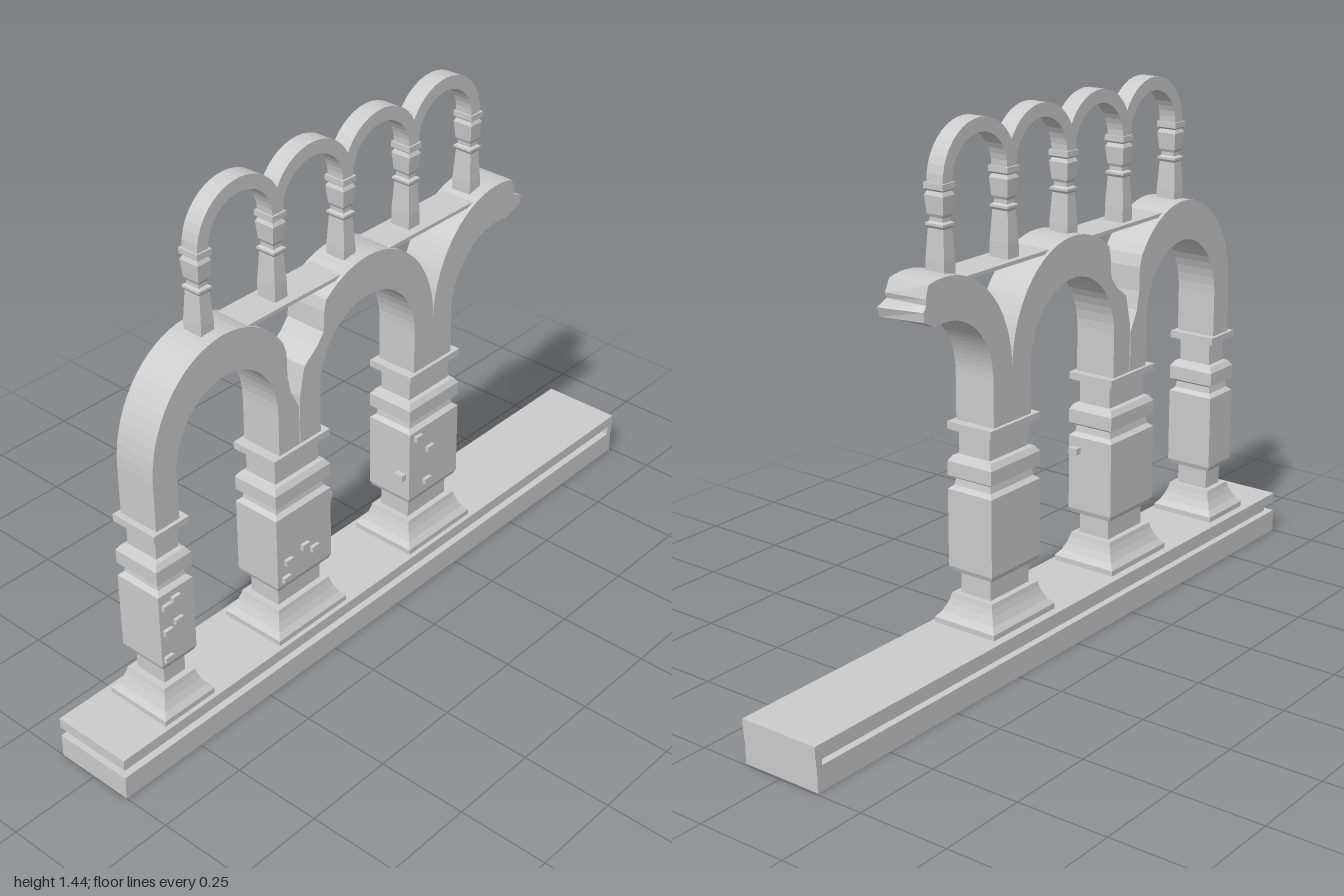
import * as THREE from 'three';

const stone = new THREE.MeshStandardMaterial({ color: 0xcccccc, flatShading: true });
const PILLAR_Z = 0.005;

function add(parent, name, geometry, x = 0, y = 0, z = 0) {
  const mesh = new THREE.Mesh(geometry, stone);
  mesh.name = name;
  mesh.position.set(x, y, z);
  parent.add(mesh);
  return mesh;
}

// Stack of rectangular sections [y, halfWidth, halfDepth], closed at both ends
function loftRects(rings) {
  const pos = [];
  const corners = ([y, a, b]) => [[-a, y, b], [a, y, b], [a, y, -b], [-a, y, -b]];
  const quad = (a, b, c, d) => pos.push(...a, ...b, ...c, ...a, ...c, ...d);
  for (let i = 0; i < rings.length - 1; i++) {
    const lo = corners(rings[i]), hi = corners(rings[i + 1]);
    for (let k = 0; k < 4; k++) {
      const n = (k + 1) % 4;
      quad(lo[k], lo[n], hi[n], hi[k]);
    }
  }
  quad(...corners(rings[0]).reverse());
  quad(...corners(rings[rings.length - 1]));
  const g = new THREE.BufferGeometry();
  g.setAttribute('position', new THREE.Float32BufferAttribute(pos, 3));
  g.computeVertexNormals();
  return g;
}

// Points on an ellipse from angle a to angle b
function arc(cx, cy, rx, ry, a, b, n = 24) {
  return Array.from({ length: n + 1 }, (_, i) => {
    const t = a + (b - a) * i / n;
    return new THREE.Vector2(cx + rx * Math.cos(t), cy + ry * Math.sin(t));
  });
}

function extrude(points, depth) {
  const g = new THREE.ExtrudeGeometry(new THREE.Shape(points), { depth, bevelEnabled: false });
  return g.translate(0, 0, -depth / 2);
}

const pts = (list) => list.map(([x, y]) => new THREE.Vector2(x, y));

// Profile of a pillar: [y, inset from the body face]
const PILLAR = [
  [0.12, -0.027], [0.135, -0.027], [0.15, -0.014], [0.17, -0.004], [0.187, 0.002], [0.2, 0.005],
  [0.2, 0.022], [0.258, 0.022], [0.262, 0.005], [0.275, 0], [0.485, 0], [0.495, 0.012],
  [0.513, 0.015], [0.522, 0], [0.56, 0], [0.575, 0.01], [0.578, 0.021], [0.64, 0.021],
  [0.645, 0], [0.665, 0]];

// Profile of a small column: [y, halfWidth, halfDepth]
const COLONNETTE = [
  [1.06, 0.021, 0.029], [1.11, 0.021, 0.029], [1.19, 0.016, 0.024], [1.197, 0.021, 0.028],
  [1.203, 0.021, 0.028], [1.207, 0.014, 0.02], [1.217, 0.014, 0.02], [1.225, 0.018, 0.025],
  [1.27, 0.022, 0.029], [1.28, 0.017, 0.024], [1.285, 0.023, 0.03], [1.3, 0.023, 0.03]];

function createBase(group) {
  const base = new THREE.Group();
  base.name = 'base';
  group.add(base);
  add(base, 'lowerSlab', new THREE.BoxGeometry(1.995, 0.065, 0.23), -0.0025, 0.0325);
  add(base, 'grooveCore', new THREE.BoxGeometry(1.96, 0.026, 0.19), 0, 0.0775);
  add(base, 'grooveEnd', new THREE.BoxGeometry(0.02, 0.026, 0.23), 0.988, 0.0775);
  add(base, 'upperSlab', new THREE.BoxGeometry(2, 0.03, 0.23), 0, 0.105);
}

function createPillars(group) {
  for (const [x, half] of [[-0.765, 0.057], [-0.318, 0.1], [0.195, 0.1]]) {
    const rings = PILLAR.map(([y, inset]) => [y, half - inset, 0.07 - inset]);
    add(group, 'pillar', loftRects(rings), x, 0, PILLAR_Z);
  }
  // Small bricks standing proud of the pillar faces
  const front = [
    [-0.8, 0.45], [-0.77, 0.46], [-0.8, 0.375], [-0.765, 0.39], [-0.803, 0.295],
    [-0.38, 0.345], [-0.32, 0.36], [-0.285, 0.335], [-0.39, 0.295],
    [0.125, 0.465], [0.175, 0.41], [0.165, 0.31]];
  for (const [x, y] of front) {
    add(group, 'brick', new THREE.BoxGeometry(0.026, 0.016, 0.02), x, y, 0.075);
  }
  add(group, 'sideBrick', new THREE.BoxGeometry(0.03, 0.018, 0.028), -0.215, 0.447, 0.05);
  add(group, 'sideBrick', new THREE.BoxGeometry(0.03, 0.018, 0.028), 0.092, 0.348, 0.05);
}

function createLargeArches(group) {
  const foot = 0.66, depth = 0.12;
  const outer = (cx, rx, a, b) => arc(cx, 0.8, rx, 0.29, a, b);
  const inner = (cx, rx, a, b) => arc(cx, 0.79, rx, 0.19, a, b);

  // Right-hand flank of the first arch is chipped
  const first = [
    ...pts([[-0.805, foot]]), ...outer(-0.56, 0.245, Math.PI, 0.66),
    ...pts([[-0.356, 0.945], [-0.355, 0.88], [-0.345, 0.83], [-0.317, 0.775], [-0.317, foot], [-0.39, foot]]),
    ...inner(-0.56, 0.17, 0, Math.PI), ...pts([[-0.73, foot]])];
  add(group, 'archWithChip', extrude(first, depth), 0, 0, PILLAR_Z);

  // Second arch has a bite out of its left flank
  const second = [
    ...pts([[-0.315, foot], [-0.313, 0.8], [-0.295, 0.88], [-0.25, 0.915], [-0.225, 0.945], [-0.222, 1.0]]),
    ...outer(-0.06, 0.255, 2.22, 0), ...pts([[0.195, foot], [0.12, foot]]),
    ...inner(-0.06, 0.18, 0, Math.PI), ...pts([[-0.24, foot]])];
  add(group, 'archWithBite', extrude(second, depth), 0, 0, PILLAR_Z);

  // Third arch breaks off just past its crown
  const third = [
    ...pts([[0.195, foot]]), ...outer(0.45, 0.255, Math.PI, 1.34),
    ...pts([[0.525, 1.05], [0.52, 1.035], [0.555, 1.02], [0.545, 0.995]]),
    ...inner(0.45, 0.18, 1.36, Math.PI), ...pts([[0.27, foot]])];
  const broken = extrude(third, depth);
  const p = broken.attributes.position;
  for (let i = 0; i < p.count; i++) {
    if (p.getX(i) > 0.515 && p.getZ(i) < 0) p.setX(i, 0.515 + (p.getX(i) - 0.515) * 0.3);
  }
  broken.computeVertexNormals();
  add(group, 'brokenArch', broken, 0, 0, PILLAR_Z);
}

function createUpperArcade(group) {
  const arcade = new THREE.Group();
  arcade.name = 'upperArcade';
  group.add(arcade);
  add(arcade, 'ledge', new THREE.BoxGeometry(1.03, 0.01, 0.1), -0.04, 1.066, PILLAR_Z);

  const step = 0.2435, start = -0.578;
  for (let i = 0; i < 5; i++) {
    add(arcade, 'smallColumn', loftRects(COLONNETTE), start + i * step, 0, 0.002);
  }
  for (let i = 0; i < 4; i++) {
    const ring = [
      ...arc(0, 1.3, 0.139, 0.138, Math.PI, 0, 20), ...arc(0, 1.3, 0.104, 0.102, 0, Math.PI, 20)];
    add(arcade, 'smallArch', extrude(ring, 0.05), start + (i + 0.5) * step, 0, 0.002);
  }
}

export function createModel() {
  const group = new THREE.Group();
  group.name = 'ruinedArcade';
  createBase(group);
  createPillars(group);
  createLargeArches(group);
  createUpperArcade(group);
  return group;
}
